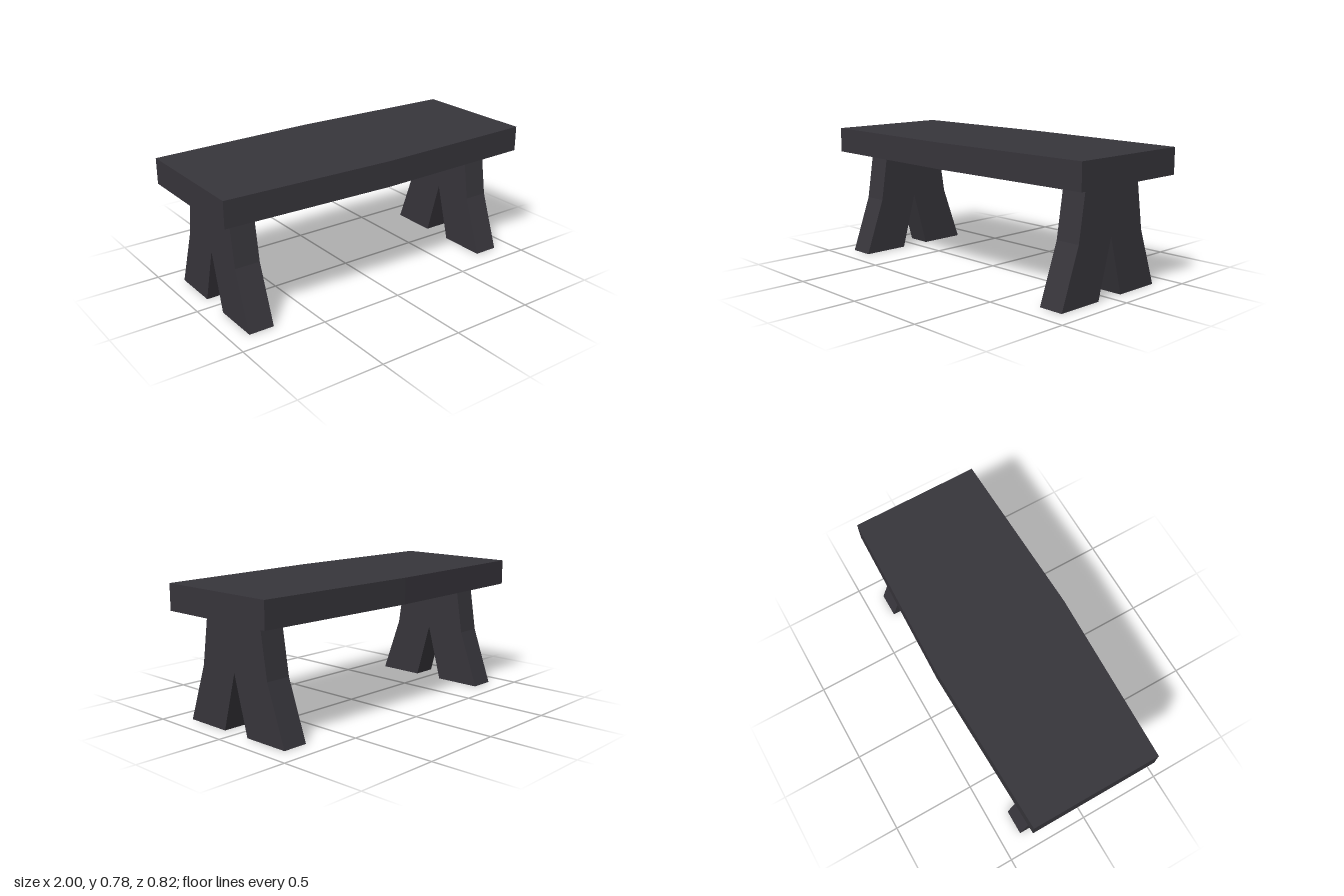
import * as THREE from 'three';

// Extrudes a closed 2D outline with sharp edges
function plate(points, depth, material, name) {
  const shape = new THREE.Shape(points.map(([a, b]) => new THREE.Vector2(a, b)));
  const geometry = new THREE.ExtrudeGeometry(shape, { depth, bevelEnabled: false });
  const mesh = new THREE.Mesh(geometry, material);
  mesh.name = name;
  return mesh;
}

export function createModel() {
  const group = new THREE.Group();
  group.name = 'bench';
  const wood = new THREE.MeshStandardMaterial({ color: 0x37353b, flatShading: true });
  wood.name = 'dark wood';

  // Thick seat, slightly wider in the middle
  const seat = plate(
    [[-1, -0.378], [0, -0.408], [1, -0.378], [1, 0.378], [0, 0.408], [-1, 0.378]],
    0.149, wood, 'seat');
  seat.geometry.rotateX(-Math.PI / 2).translate(0, 0.629, 0);
  group.add(seat);

  // Flared legs with a V-shaped notch, one near each end
  const half = [[0.092, 0], [0.377, 0], [0.257, 0.332], [0.21, 0.629]];
  const mirrored = half.map(([z, y]) => [-z, y]).reverse();
  const outline = [...half, ...mirrored, [0, 0.332]];
  for (const [name, x] of [['leftLeg', 0.739], ['rightLeg', -0.891]]) {
    const leg = plate(outline, 0.148, wood, name);
    leg.geometry.rotateY(Math.PI / 2).translate(x, 0, 0);
    group.add(leg);
  }
  return group;
}
